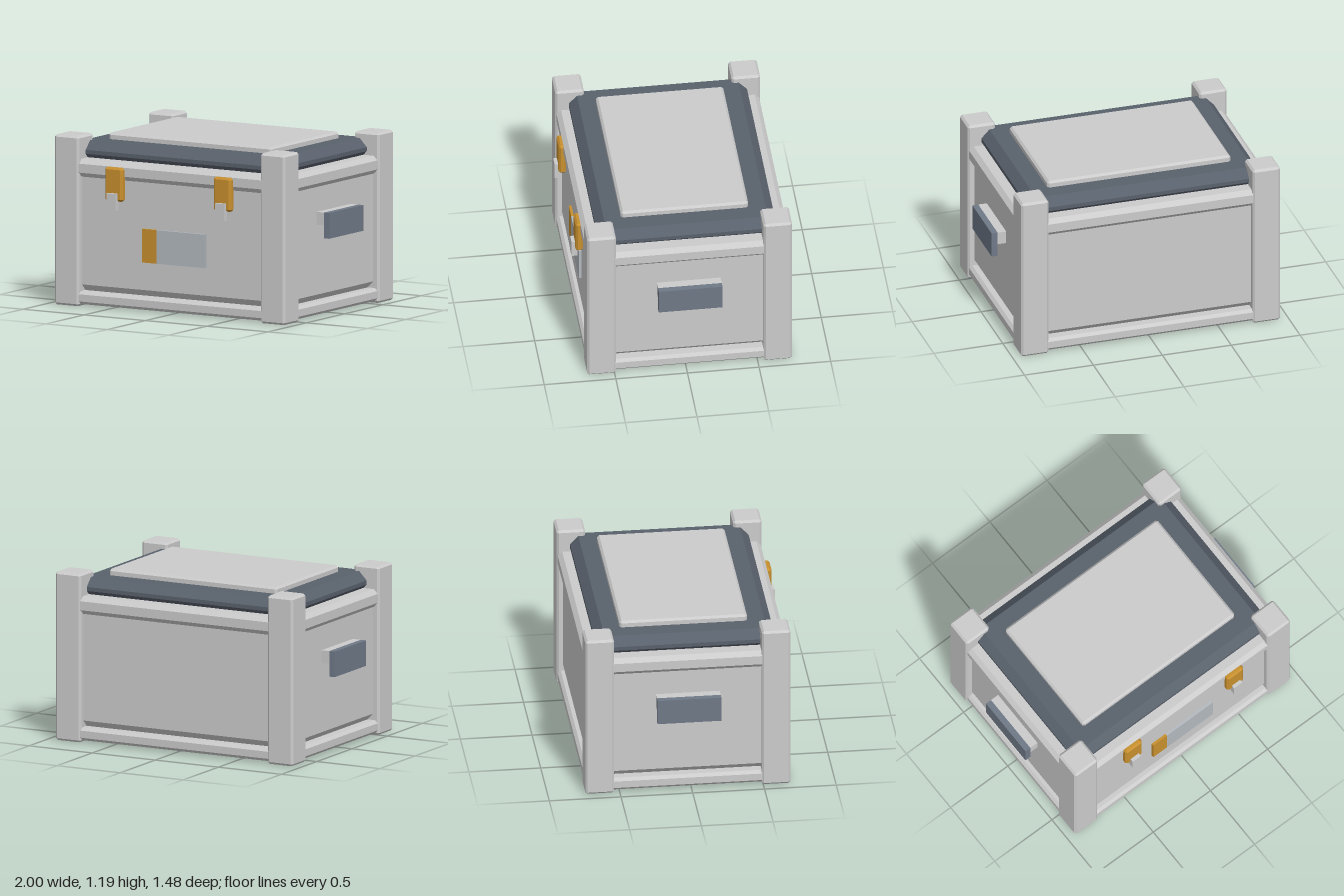
import * as THREE from 'three';
import { ConvexGeometry } from 'three/addons/geometries/ConvexGeometry.js';

const mat = (color) => new THREE.MeshStandardMaterial({ color, flatShading: true });
const grey = mat(0xcccccc);
const lidBlue = mat(0x59616c);
const gripBlue = mat(0x6f7987);
const brass = mat(0xc8902f);
const plateGrey = mat(0xb4bac0);

const CZ = -0.025; // depth centre of the crate (latches stick out in front)

// Box given by its limits, with every edge cut by a chamfer c
function chamferBox(x0, x1, y0, y1, z0, z1, c) {
  const h = [(x1 - x0) / 2, (y1 - y0) / 2, (z1 - z0) / 2];
  const pts = [];
  for (const sx of [-1, 1]) for (const sy of [-1, 1]) for (const sz of [-1, 1]) {
    for (let full = 0; full < 3; full++) {
      const d = h.map((v, i) => (i === full ? v : v - c));
      pts.push(new THREE.Vector3(sx * d[0], sy * d[1], sz * d[2]));
    }
  }
  return new ConvexGeometry(pts).translate((x0 + x1) / 2, (y0 + y1) / 2, (z0 + z1) / 2);
}

function plainBox(x0, x1, y0, y1, z0, z1) {
  return new THREE.BoxGeometry(x1 - x0, y1 - y0, z1 - z0)
    .translate((x0 + x1) / 2, (y0 + y1) / 2, (z0 + z1) / 2);
}

export function createModel() {
  const model = new THREE.Group();
  model.name = 'storageCrate';
  const add = (name, geometry, material = grey, parent = model) => {
    const mesh = new THREE.Mesh(geometry, material);
    mesh.name = name;
    parent.add(mesh);
    return mesh;
  };
  const slab = (hx, hz, y0, y1, c) => chamferBox(-hx, hx, y0, y1, CZ - hz, CZ + hz, c);

  // Body between a bottom and a top rail
  add('body', slab(0.895, 0.67, 0.105, 1.0, 0.045));
  add('bottomRail', slab(0.93, 0.707, 0.015, 0.105, 0.02));
  add('topRail', slab(0.93, 0.707, 0.905, 1.03, 0.031));

  // Corner posts
  for (const sx of [-1, 1]) for (const sz of [-1, 1]) {
    const x = sx * 0.84, z = CZ + sz * 0.615;
    add((sz > 0 ? 'front' : 'back') + (sx > 0 ? 'Left' : 'Right') + 'Post',
      chamferBox(x - 0.1, x + 0.1, 0, 1.19, z - 0.1, z + 0.1, 0.015));
  }

  // Lid: stacked rectangles [y, inset] joined into a sloped block
  const rings = [[1.028, 0.03], [1.057, 0], [1.085, 0], [1.145, 0.058]];
  const lidPoints = [];
  for (const [y, inset] of rings) for (const sx of [-1, 1]) for (const sz of [-1, 1]) {
    lidPoints.push(new THREE.Vector3(sx * (0.843 - inset), y, CZ + sz * (0.622 - inset)));
  }
  add('lid', new ConvexGeometry(lidPoints), lidBlue);
  add('lidPanel', slab(0.665, 0.445, 1.13, 1.19, 0.015));

  // Front latches
  for (const side of [-1, 1]) {
    const x = side * 0.443;
    const latch = new THREE.Group();
    latch.name = side > 0 ? 'leftLatch' : 'rightLatch';
    add('latchPlate', chamferBox(x - 0.072, x + 0.072, 0.762, 0.998, 0.662, 0.715, 0.014), brass, latch);
    add('latchTab', plainBox(x - 0.036, x + 0.036, 0.7, 0.82, 0.7, 0.74), grey, latch);
    model.add(latch);
  }

  // Front label plate with a coloured end
  add('labelPlate', plainBox(-0.12, 0.28, 0.345, 0.58, 0.635, 0.663), plateGrey);
  add('labelStripe', plainBox(-0.24, -0.12, 0.345, 0.58, 0.635, 0.663), brass);

  // Side handles: a mount with a hanging grip
  for (const side of [-1, 1]) {
    const handle = new THREE.Group();
    handle.name = side > 0 ? 'leftHandle' : 'rightHandle';
    const box = (a, b, y0, y1) =>
      plainBox(Math.min(side * a, side * b), Math.max(side * a, side * b), y0, y1, -0.245, 0.2);
    add('handleMount', box(0.88, 0.957, 0.64, 0.73), grey, handle);
    add('handleGrip', box(0.957, 1.0, 0.55, 0.73), gripBlue, handle);
    model.add(handle);
  }
  return model;
}
